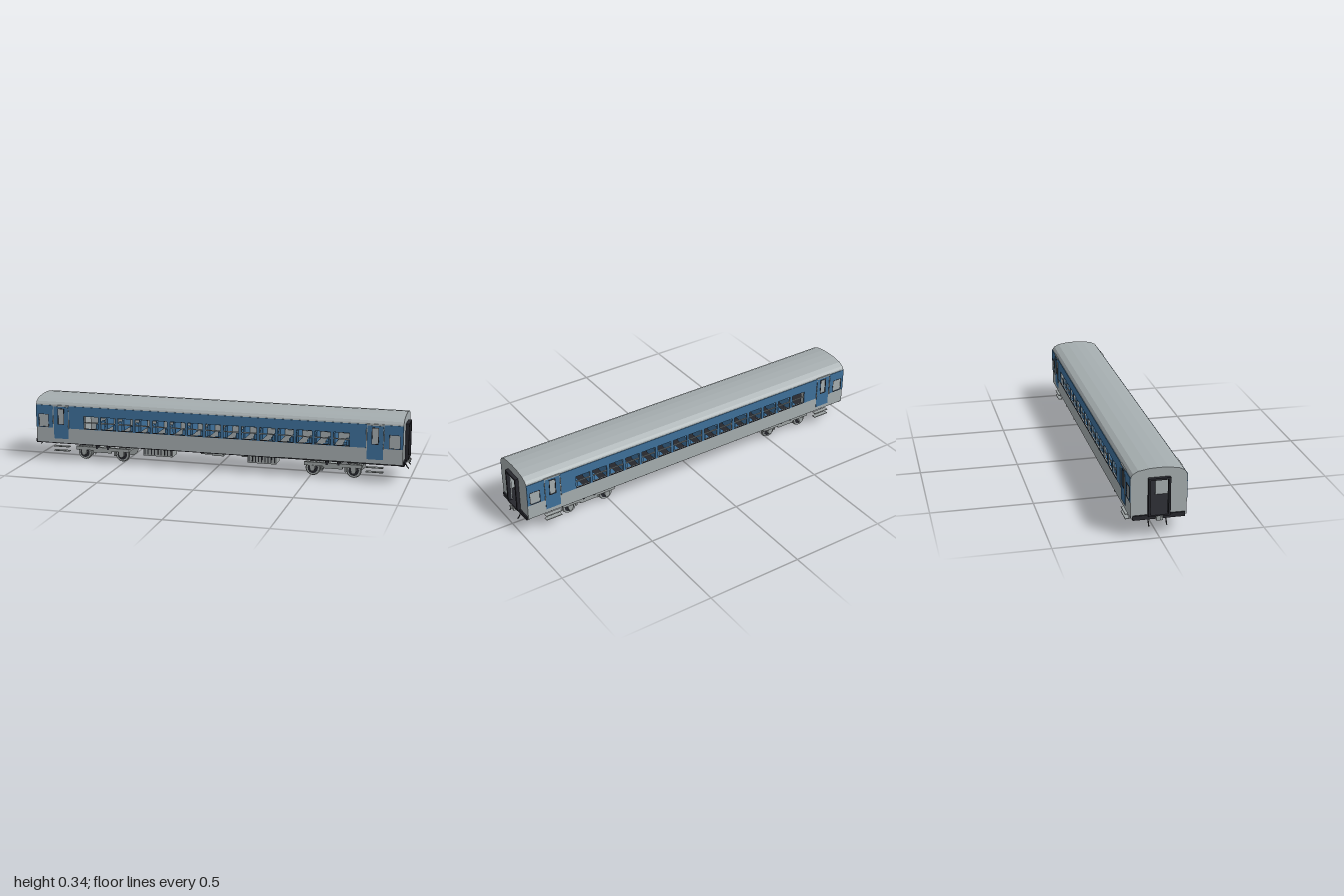
import * as THREE from 'three';

const mat = (name, color, side = THREE.FrontSide) => {
  const m = new THREE.MeshStandardMaterial({ color, side });
  m.name = name;
  return m;
};

export function createModel() {
  const root = new THREE.Group();
  root.name = 'passengerCoach';
  const grey = mat('bodyGrey', 0xa5adaf);
  const blue = mat('bandBlue', 0x3e709b);
  const black = mat('frameBlack', 0x26272d);
  const steel = mat('gearSteel', 0x9ca2a2);

  const add = (name, geo, m, parent = root) => {
    const mesh = new THREE.Mesh(geo, m);
    mesh.name = name;
    parent.add(mesh);
    return mesh;
  };
  // box given by its limits on each axis
  const box = (name, m, x0, x1, y0, y1, z0, z1, parent = root) => {
    const b = add(name, new THREE.BoxGeometry(Math.abs(x1 - x0), y1 - y0, Math.abs(z1 - z0)), m, parent);
    b.position.set((x0 + x1) / 2, (y0 + y1) / 2, (z0 + z1) / 2);
    return b;
  };
  const rectPoints = (x0, x1, y0, y1) =>
    [[x0, y0], [x1, y0], [x1, y1], [x0, y1]].map(([x, y]) => new THREE.Vector2(x, y));
  // flat plate with rectangular holes
  const plateGeo = (outline, holes, depth) => {
    const shape = new THREE.Shape(outline);
    for (const h of holes) shape.holes.push(new THREE.Path(rectPoints(...h).reverse()));
    return new THREE.ExtrudeGeometry(shape, { depth, bevelEnabled: false });
  };
  const rod = (name, m, r, len, axis, x, y, z, parent = root, sides = 16) => {
    const g = new THREE.CylinderGeometry(r, r, len, sides);
    if (axis === 'x') g.rotateZ(Math.PI / 2);
    if (axis === 'z') g.rotateX(Math.PI / 2);
    const c = add(name, g, m, parent);
    c.position.set(x, y, z);
    return c;
  };

  const L = 0.973, doorIn = 0.79, doorOut = 0.877, doorX = (doorIn + doorOut) / 2;
  const pitch = 0.095;
  const windows = [];
  for (let i = -7; i <= 7; i++) windows.push([i * pitch - 0.04, i * pitch + 0.04, 0.18, 0.246]);

  // roof and end walls
  const arch = [[0.132, 0.294], [0.129, 0.303], [0.121, 0.314], [0.096, 0.327], [0.045, 0.335], [0, 0.337]];
  const half = arch.map(([z, y]) => new THREE.Vector2(z, y));
  const roofLine = [...half, ...half.slice(0, -1).reverse().map(p => new THREE.Vector2(-p.x, p.y))];
  const roofGeo = plateGeo(roofLine, [], 2 * L - 0.012);
  roofGeo.rotateY(Math.PI / 2);
  add('roof', roofGeo, grey).position.x = -L + 0.006;
  const endOutline = [...roofLine, new THREE.Vector2(-0.132, 0.11), new THREE.Vector2(0.132, 0.11)];
  for (const s of [-1, 1]) {
    const g = plateGeo(endOutline, [[-0.043, 0.043, 0.1105, 0.283]], 0.006);
    g.rotateY(Math.PI / 2);
    add('endWall', g, grey).position.x = s > 0 ? L - 0.006 : -L;
    // vestibule partition with aisle opening
    const p = plateGeo(rectPoints(-0.126, 0.126, 0.11, 0.294), [[-0.038, 0.038, 0.1105, 0.29]], 0.005);
    p.rotateY(Math.PI / 2);
    add('partition', p, grey).position.x = s * 0.765 - 0.0025;
  }

  // floor and sills
  box('floor', black, -L, L, 0.09, 0.111, -0.124, 0.124);

  // side walls, painted band, doors and windows
  for (const s of [-1, 1]) {
    const side = new THREE.Group();
    side.name = s > 0 ? 'frontSide' : 'backSide';
    root.add(side);
    const plate = (name, m, outline, holes, outer, depth) => {
      add(name, plateGeo(outline, holes, depth), m, side).position.z = s > 0 ? outer - depth : -outer;
    };
    plate('sideWall', grey, rectPoints(-L + 0.006, L - 0.006, 0.11, 0.294), windows, 0.132, 0.006);
    plate('windowBand', blue, rectPoints(-doorIn, doorIn, 0.176, 0.296), windows, 0.1345, 0.0025);
    box('sill', grey, -L, L, 0.096, 0.11, s * 0.123, s * 0.131, side);
    for (const w of windows) {
      box('windowBar', grey, w[0], w[1], 0.21, 0.216, s * 0.127, s * 0.131, side);
      box('windowLedge', black, w[0], w[1], 0.1775, 0.181, s * 0.132, s * 0.136, side);
    }
    for (const e of [-1, 1]) {
      const span = (a, b, y0, y1) => [Math.min(e * a, e * b), Math.max(e * a, e * b), y0, y1];
      const pane = span(0.905, 0.957, 0.18, 0.246);
      plate('endBand', blue, rectPoints(...span(doorOut, L, 0.176, 0.296)), [pane], 0.1345, 0.0025);
      // door leaf over a slim grey surround
      const glass = span(doorX - 0.015, doorX + 0.015, 0.198, 0.278);
      plate('door', blue, rectPoints(...span(doorIn + 0.003, doorOut - 0.003, 0.118, 0.29)), [glass], 0.1335, 0.0015);
      box('doorHeader', grey, e * doorIn, e * doorOut, 0.292, 0.299, s * 0.13, s * 0.136, side);
      const rim = (r, t) => plate('windowRim', black,
        rectPoints(r[0] - t, r[1] + t, r[2] - t, r[3] + t), [r], 0.1355, 0.0025);
      rim(glass, 0.003);
      rim(pane, 0.002);
      for (const x of [doorIn, doorOut])
        rod('handrail', steel, 0.002, 0.1, 'y', e * x, 0.225, s * 0.1365, side, 8);
      for (const y of [0.052, 0.075])
        box('step', steel, e * doorIn, e * doorOut, y - 0.002, y + 0.002, s * 0.112, s * 0.134, side);
    }
    // seat rows
    for (let i = -7; i <= 7; i++) {
      const x = i * pitch + 0.03;
      box('seatBack', blue, x - 0.006, x + 0.006, 0.145, 0.205, s * 0.018, s * 0.122, side);
      box('seatCushion', blue, x - 0.045, x - 0.006, 0.145, 0.158, s * 0.022, s * 0.122, side);
      box('seatLeg', steel, x - 0.026, x - 0.02, 0.111, 0.145, s * 0.031, s * 0.036, side);
    }
  }

  // gangways, buffer beams, couplers and hoses at both ends
  for (const e of [-1, 1]) {
    const end = new THREE.Group();
    end.name = e > 0 ? 'leftEnd' : 'rightEnd';
    root.add(end);
    for (const s of [-1, 1]) {
      box('gangwaySide', black, e * L, e * 0.991, 0.11, 0.291, s * 0.042, s * 0.052, end);
      const z = s > 0 ? 0.034 : -0.05;
      const hose = new THREE.CatmullRomCurve3([
        new THREE.Vector3(e * 0.965, 0.092, z), new THREE.Vector3(e * 0.975, 0.083, z),
        new THREE.Vector3(e * 0.984, 0.068, z), new THREE.Vector3(e * 0.992, 0.058, z)]);
      add('brakeHose', new THREE.TubeGeometry(hose, 8, 0.0028, 6), black, end);
    }
    box('gangwayTop', black, e * L, e * 0.991, 0.281, 0.291, -0.042, 0.042, end);
    box('gangwayPlate', black, e * L, e * 0.991, 0.104, 0.111, -0.052, 0.052, end);
    box('bufferBeam', black, e * 0.96, e * 0.98, 0.088, 0.1095, -0.123, 0.123, end);
    box('couplerShank', steel, e * 0.93, e * 0.985, 0.088, 0.1, -0.007, 0.007, end);
    box('couplerHead', steel, e * 0.98, e * 0.994, 0.085, 0.106, -0.016, 0.016, end);
    box('couplerKnuckle', steel, e * 0.994, e, 0.087, 0.104, 0.003, 0.014, end);
  }

  // two-axle bogies
  for (const e of [-1, 1]) {
    const bogie = new THREE.Group();
    bogie.name = 'bogie';
    bogie.position.x = e * 0.617;
    root.add(bogie);
    box('bolster', steel, -0.03, 0.03, 0.05, 0.07, -0.098, 0.098, bogie);
    rod('pivot', black, 0.02, 0.024, 'y', 0, 0.08, 0, bogie);
    for (const s of [-1, 1]) {
      box('sideFrame', steel, -0.148, 0.148, 0.056, 0.074, s * 0.085, s * 0.098, bogie);
      box('frameDrop', steel, -0.05, 0.05, 0.046, 0.056, s * 0.086, s * 0.097, bogie);
      for (const x of [-0.03, 0.03])
        rod('spring', black, 0.01, 0.026, 'y', x, 0.078, s * 0.09, bogie, 12);
    }
    for (const a of [-1, 1]) {
      const x = a * 0.105;
      rod('axle', steel, 0.006, 0.18, 'z', x, 0.039, 0, bogie);
      box('crossBeam', steel, a * 0.14, a * 0.148, 0.058, 0.068, -0.09, 0.09, bogie);
      for (const s of [-1, 1]) {
        rod('wheelTread', steel, 0.035, 0.01, 'z', x, 0.039, s * 0.076, bogie, 28);
        rod('wheelFlange', steel, 0.039, 0.003, 'z', x, 0.039, s * 0.0705, bogie, 28);
        rod('wheelWeb', black, 0.026, 0.0015, 'z', x, 0.039, s * 0.0815, bogie, 24);
        rod('axleBox', steel, 0.012, 0.02, 'z', x, 0.039, s * 0.09, bogie);
        box('axleGuard', steel, x - 0.014, x + 0.014, 0.042, 0.058, s * 0.086, s * 0.1, bogie);
        for (const z of [0.024, 0.049])
          box('brakeHanger', steel, x - a * 0.046, x - a * 0.043, 0.02, 0.062, s * (z - 0.001), s * (z + 0.001), bogie);
        box('brakeShoe', steel, x - a * 0.047, x - a * 0.039, 0.028, 0.05, s * 0.071, s * 0.08, bogie);
      }
      box('brakeBeam', steel, x - a * 0.047, x - a * 0.042, 0.034, 0.041, -0.078, 0.078, bogie);
    }
  }

  // underfloor equipment
  for (const [x0, x1] of [[-0.395, -0.235], [0.17, 0.32]]) {
    box('equipmentBox', steel, x0, x1, 0.043, 0.09, 0.0, 0.08);
    const n = 9, step = (x1 - x0) / n;
    for (let i = 0; i < n; i++) {
      const x = x0 + (i + 0.5) * step;
      box('louvre', black, x - 0.0025, x + 0.0025, 0.05, 0.079, 0.079, 0.082);
    }
  }
  box('controlBox', steel, -0.025, 0.037, 0.062, 0.09, 0.01, 0.06);
  for (const [x0, x1] of [[-0.115, -0.022], [0.107, 0.2]]) {
    rod('airTank', steel, 0.0145, x1 - x0, 'x', (x0 + x1) / 2, 0.052, -0.05);
    for (const x of [x0 + 0.02, x1 - 0.02])
      box('tankStrap', black, x - 0.003, x + 0.003, 0.06, 0.09, -0.056, -0.044);
  }
  return root;
}
